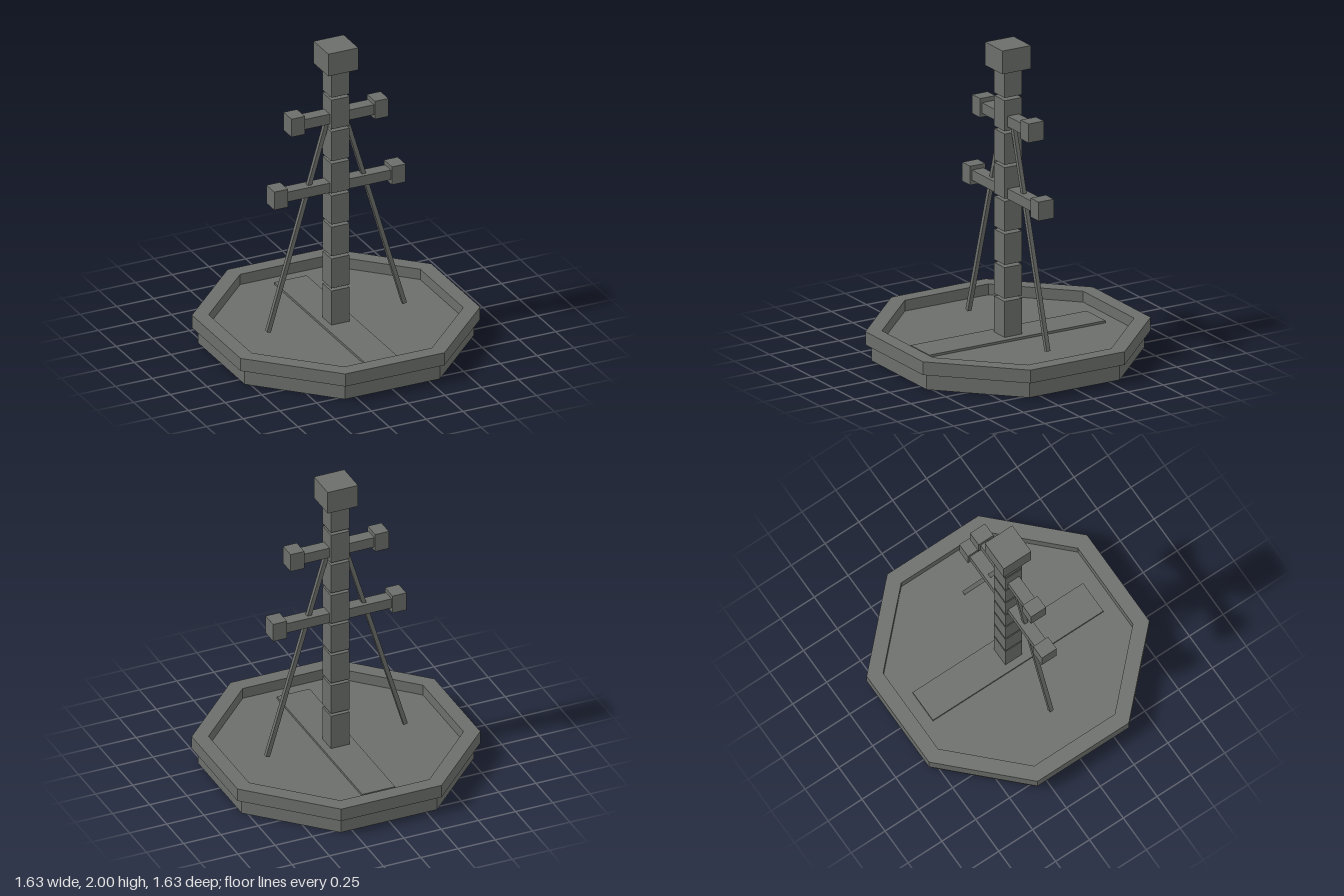
import * as THREE from 'three';

export function createModel() {
  const model = new THREE.Group();
  const stone = new THREE.MeshStandardMaterial({ color: 0x6b6e6a, flatShading: true });
  stone.name = 'grey stone';

  const add = (name, geometry, parent = model) => {
    const mesh = new THREE.Mesh(geometry, stone);
    mesh.name = name;
    parent.add(mesh);
    return mesh;
  };
  // Box spanning two heights, centred on z = 0
  const box = (name, x, y0, y1, w, d, parent) => {
    const mesh = add(name, new THREE.BoxGeometry(w, y1 - y0, d), parent);
    mesh.position.set(x, (y0 + y1) / 2, 0);
    return mesh;
  };

  // Octagonal tray: plinth, overhanging rim and sunken floor in one profile
  const profile = [
    [0, 0], [0.78, 0], [0.78, 0.105], [0.815, 0.105],
    [0.815, 0.19], [0.72, 0.19], [0.72, 0.12], [0, 0.12],
  ].map(([apothem, y]) => new THREE.Vector2(apothem / Math.cos(Math.PI / 8), y));
  add('base', new THREE.LatheGeometry(profile, 8, Math.PI / 8));

  // Raised strip across the floor
  box('floorStrip', 0, 0.115, 0.135, 0.22, 1.26);

  // Mast of stacked blocks with narrow gaps, joined by a thin core
  const mast = new THREE.Group();
  mast.name = 'mast';
  model.add(mast);
  const joints = [0.375, 0.593, 0.808, 1.02, 1.238, 1.455, 1.67];
  const gap = 0.009;
  for (let i = 0; i <= joints.length; i++) {
    const bottom = i === 0 ? 0.13 : joints[i - 1] + gap;
    const top = i === joints.length ? 1.86 : joints[i] - gap;
    box('mastBlock', 0, bottom, top, 0.124, 0.124, mast);
  }
  box('mastCap', 0, 1.85, 2, 0.204, 0.204, mast);

  // Two crossarms with square end blocks
  const arms = [
    { y0: 1.49, y1: 1.558, inner: 0.238, outer: 0.33, b0: 1.465, b1: 1.587 },
    { y0: 1.024, y1: 1.09, inner: 0.354, outer: 0.447, b0: 0.995, b1: 1.117 },
  ];
  for (const a of arms) {
    const arm = new THREE.Group();
    arm.name = 'crossarm';
    model.add(arm);
    box('armBeam', 0, a.y0, a.y1, a.inner * 2 + 0.02, 0.082, arm);
    for (const side of [-1, 1]) {
      box('armEndBlock', side * (a.inner + a.outer) / 2, a.b0, a.b1, a.outer - a.inner, 0.11, arm);
    }
  }

  // Slanted braces from the floor to the upper crossarm
  for (const side of [-1, 1]) {
    const foot = new THREE.Vector3(side * 0.463, 0.15, 0);
    const head = new THREE.Vector3(side * 0.053, 1.53, 0);
    const direction = head.clone().sub(foot);
    const brace = add('brace', new THREE.BoxGeometry(0.027, direction.length(), 0.027));
    brace.position.copy(foot).add(head).multiplyScalar(0.5);
    brace.quaternion.setFromUnitVectors(new THREE.Vector3(0, 1, 0), direction.normalize());
  }

  return model;
}
